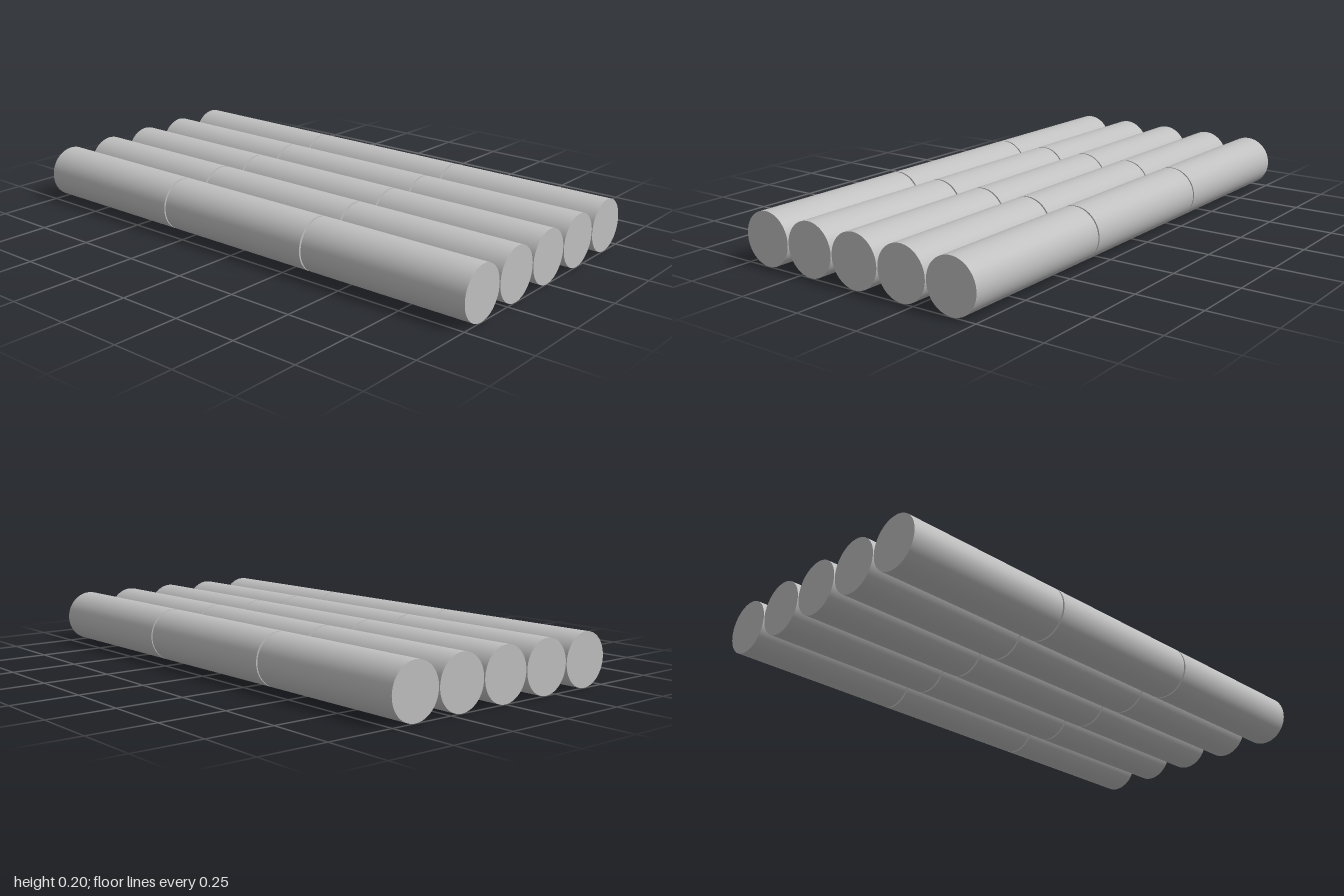
import * as THREE from 'three';

const RADIUS = 0.099, LENGTH = 0.662;
const STEP_X = 0.2025, STEP_Z = 0.669;

export function createModel() {
  const model = new THREE.Group();
  model.name = 'rodGrid';

  const grey = new THREE.MeshStandardMaterial({ color: 0xc0c0c0 });
  grey.name = 'light grey';

  // One rod lying along z, resting on the ground
  const rod = new THREE.CylinderGeometry(RADIUS, RADIUS, LENGTH, 64);
  rod.rotateX(Math.PI / 2);

  // Five columns, each of three rods end to end with a narrow gap
  for (let col = -2; col <= 2; col++) {
    const column = new THREE.Group();
    column.name = `rodColumn${col + 3}`;
    column.position.set(col * STEP_X, RADIUS, 0);
    for (let row = -1; row <= 1; row++) {
      const mesh = new THREE.Mesh(rod, grey);
      mesh.name = `rod${row + 2}`;
      mesh.position.z = row * STEP_Z;
      column.add(mesh);
    }
    model.add(column);
  }
  return model;
}
